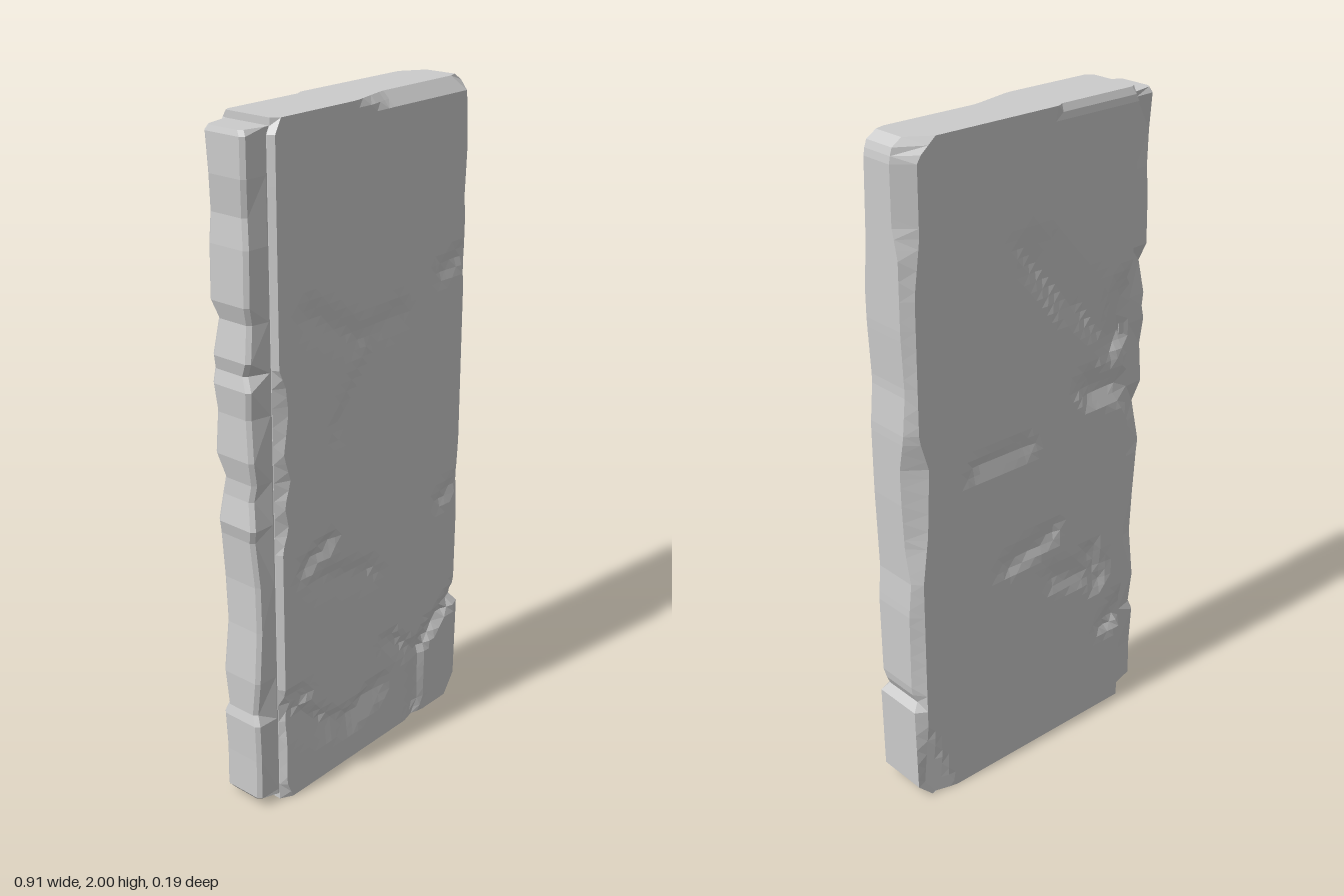
import * as THREE from 'three';

const material = new THREE.MeshStandardMaterial({ color: 0xcccccc, flatShading: true });
const clamp = THREE.MathUtils.clamp;

// Piecewise linear lookup in a list of [y, value] pairs
function at(table, y) {
  for (let i = 1; i < table.length; i++) {
    const [y0, v0] = table[i - 1], [y1, v1] = table[i];
    if (y <= y1) return v0 + (v1 - v0) * clamp((y - y0) / (y1 - y0), 0, 1);
  }
  return table[table.length - 1][1];
}

// Skin closed rings (counterclockwise from above, listed bottom to top) and cap both ends
function loft(name, rings) {
  const n = rings[0].length, pos = rings.flat(2), index = [];
  for (let j = 0; j < rings.length - 1; j++) {
    for (let i = 0; i < n; i++) {
      const a = j * n + i, b = j * n + (i + 1) % n;
      if ((i + j) % 2) index.push(a, b, b + n, a, b + n, a + n);
      else index.push(a, b, a + n, b, b + n, a + n);
    }
  }
  [0, rings.length - 1].forEach((j, top) => {
    const c = pos.length / 3;
    for (let k = 0; k < 3; k++) pos.push(rings[j].reduce((s, p) => s + p[k], 0) / n);
    for (let i = 0; i < n; i++) {
      const a = j * n + i, b = j * n + (i + 1) % n;
      index.push(c, top ? a : b, top ? b : a);
    }
  });
  const g = new THREE.BufferGeometry();
  g.setAttribute('position', new THREE.Float32BufferAttribute(pos, 3));
  g.setIndex(index);
  const flat = g.toNonIndexed();
  flat.computeVertexNormals();
  const mesh = new THREE.Mesh(flat, material);
  mesh.name = name;
  return mesh;
}

// Chips: x0, y0, x1, y1, depth, fade width left of the line, fade width right of it
const frontChips = [
  [-0.36, 0.32, -0.20, 0.20, 0.014, 0.03, 0.10],
  [-0.20, 0.20, -0.09, 0.16, 0.012, 0.03, 0.08],
  [-0.09, 0.16, 0.02, 0.20, 0.014, 0.03, 0.09],
  [-0.36, 0.34, -0.29, 0.33, 0.012, 0.03, 0.04],
  [0.25, 0.24, 0.42, 0.36, 0.020, 0.05, 0.03],
  [0.23, 0.00, 0.25, 0.24, 0.012, 0.05, 0.03],
  [0.10, 0.34, 0.20, 0.26, 0.010, 0.03, 0.05],
  [-0.28, 0.73, -0.18, 0.78, 0.014, 0.03, 0.05],
  [-0.22, 0.68, 0.00, 0.62, 0.009, 0.04, 0.08],
  [-0.24, 1.46, -0.05, 1.35, 0.009, 0.06, 0.07],
  [-0.05, 1.35, 0.12, 1.38, 0.007, 0.05, 0.07],
  [-0.14, 1.12, 0.02, 1.34, 0.005, 0.03, 0.07],
  [0.32, 1.46, 0.43, 1.50, 0.010, 0.04, 0.05],
  [0.33, 0.72, 0.43, 0.77, 0.009, 0.04, 0.04],
];
const backChips = [
  [0.02, 1.58, -0.34, 1.22, 0.010, 0.05, 0.12],
  [-0.37, 1.12, -0.22, 1.14, 0.020, 0.09, 0.06],
  [-0.37, 1.38, -0.33, 1.28, 0.026, 0.12, 0.06],
  [0.22, 1.05, 0.05, 1.06, 0.009, 0.06, 0.03],
  [0.10, 0.68, -0.06, 0.72, 0.011, 0.04, 0.06],
  [-0.08, 0.56, -0.24, 0.52, 0.010, 0.05, 0.07],
  [-0.22, 0.60, -0.26, 0.48, 0.012, 0.05, 0.04],
  [-0.37, 0.36, -0.31, 0.30, 0.016, 0.06, 0.04],
];
function chipDepth(chips, x, y) {
  let depth = 0;
  for (const [x0, y0, x1, y1, d, wl, wr] of chips) {
    const dx = x1 - x0, dy = y1 - y0;
    const t = clamp(((x - x0) * dx + (y - y0) * dy) / (dx * dx + dy * dy), 0, 1);
    const side = dx * (y - y0) - dy * (x - x0);
    const dist = Math.hypot(x - x0 - t * dx, y - y0 - t * dy);
    depth = Math.max(depth, d * (1 - dist / (side > 0 ? wl : wr)));
  }
  return depth;
}

// Worn edge lines along the height
const outerRight = [[0, 0.40], [0.05, 0.45], [0.32, 0.453], [0.35, 0.432], [0.38, 0.45], [0.65, 0.453],
  [0.75, 0.445], [1.0, 0.452], [1.2, 0.453], [1.33, 0.442], [1.5, 0.45], [1.95, 0.45], [1.98, 0.44], [2, 0.41]];
const frontRight = [[0, 0.385], [0.05, 0.42], [0.31, 0.425], [0.35, 0.40], [0.4, 0.415], [0.75, 0.41],
  [0.9, 0.42], [1.4, 0.42], [1.5, 0.405], [1.8, 0.42], [1.96, 0.41], [2, 0.38]];
const backRight = [[0, 0.385], [0.05, 0.42], [0.75, 0.42], [0.9, 0.40], [1.1, 0.39], [1.2, 0.42],
  [1.6, 0.42], [1.75, 0.40], [1.95, 0.40], [2, 0.34]];
const rightFrontZ = [[0, 0.08], [0.32, 0.082], [0.36, 0.055], [0.4, 0.07], [1.3, 0.07], [1.6, 0.072], [1.7, 0.06], [2, 0.05]];
const rightBackZ = [[0, 0.08], [0.32, 0.075], [0.36, 0.06], [0.75, 0.07], [0.85, 0.052], [1.1, 0.048], [1.2, 0.068], [1.7, 0.07], [1.78, 0.05], [2, 0.05]];
const frontLeft = [[0, -0.34], [0.06, -0.365], [0.28, -0.36], [0.32, -0.34], [0.35, -0.365], [0.82, -0.365],
  [0.88, -0.34], [0.95, -0.355], [1.02, -0.33], [1.1, -0.355], [1.22, -0.335], [1.3, -0.345], [1.34, -0.367], [1.96, -0.367], [2, -0.345]];
const backLeft = [[0, -0.36], [0.26, -0.365], [0.33, -0.335], [0.37, -0.367], [1.0, -0.367], [1.1, -0.31],
  [1.2, -0.35], [1.35, -0.32], [1.5, -0.367], [1.96, -0.367], [2, -0.35]];

function createSlab() {
  const ys = [0, 0.02, 0.05];
  while (ys[ys.length - 1] < 1.93) ys.push(ys[ys.length - 1] + 0.027);
  ys.push(1.96, 1.98, 2);
  const cols = 32;
  return loft('slab', ys.map(y => {
    const ring = [];
    const fl = at(frontLeft, y), fr = at(frontRight, y), bl = at(backLeft, y), br = at(backRight, y);
    // Front face with the broken top edge on its left half
    for (let i = 0; i <= cols; i++) {
      const x = fl + (fr - fl) * i / cols;
      const topBreak = clamp((x + 0.06) * 0.25, 0, 0.035) - (2 - y) * 0.85;
      ring.push([x, y, 0.095 - Math.max(chipDepth(frontChips, x, y), topBreak, 0)]);
    }
    // Narrow right-hand edge
    const xr = at(outerRight, y);
    ring.push([xr, y, at(rightFrontZ, y)], [xr, y, -at(rightBackZ, y)]);
    // Back face with a sliced lower corner
    for (let i = 0; i <= cols; i++) {
      const x = br + (bl - br) * i / cols;
      const corner = (x - 0.32 - y * 0.38) * 0.3;
      const topBreak = x < -0.08 ? 0.012 - (2 - y) * 0.5 : 0;
      ring.push([x, y, -0.095 + Math.max(chipDepth(backChips, x, y), corner, topBreak, 0)]);
    }
    // Step down to the tongue
    const xs = y > 1.97 ? -0.365 : -0.376;
    ring.push([xs, y, -0.075], [xs, y, 0.075]);
    return ring;
  }));
}

// Thinner tongue along the other edge: y, outer x, front z, back z
const tongueRows = [
  [0.02, -0.44, 0.055, 0.055], [0.035, -0.452, 0.068, 0.068], [0.16, -0.452, 0.07, 0.066], [0.28, -0.455, 0.07, 0.07],
  [0.31, -0.447, 0.055, 0.06], [0.42, -0.45, 0.07, 0.07], [0.58, -0.438, 0.07, 0.062], [0.72, -0.436, 0.066, 0.07],
  [0.86, -0.446, 0.06, 0.07], [0.90, -0.455, 0.072, 0.066], [0.98, -0.442, 0.056, 0.06], [1.03, -0.44, 0.066, 0.05],
  [1.10, -0.453, 0.07, 0.07], [1.22, -0.448, 0.06, 0.064], [1.30, -0.455, 0.068, 0.07], [1.34, -0.446, 0.05, 0.07],
  [1.38, -0.455, 0.07, 0.066], [1.48, -0.441, 0.064, 0.055], [1.53, -0.455, 0.07, 0.07], [1.68, -0.452, 0.07, 0.07],
  [1.76, -0.444, 0.06, 0.07], [1.86, -0.455, 0.07, 0.062], [1.965, -0.455, 0.07, 0.07], [1.98, -0.45, 0.06, 0.06],
];
function createTongue() {
  return loft('sideTongue', tongueRows.map(([y, x, f, b]) => [
    [x, y, f - 0.012], [x + 0.01, y, f], [-0.38, y, 0.073], [-0.34, y, 0.073],
    [-0.34, y, -0.073], [-0.38, y, -0.073], [x + 0.01, y, -b], [x, y, -b + 0.012],
  ]));
}

export function createModel() {
  const group = new THREE.Group();
  group.name = 'stoneSlab';
  group.add(createSlab(), createTongue());
  return group;
}
